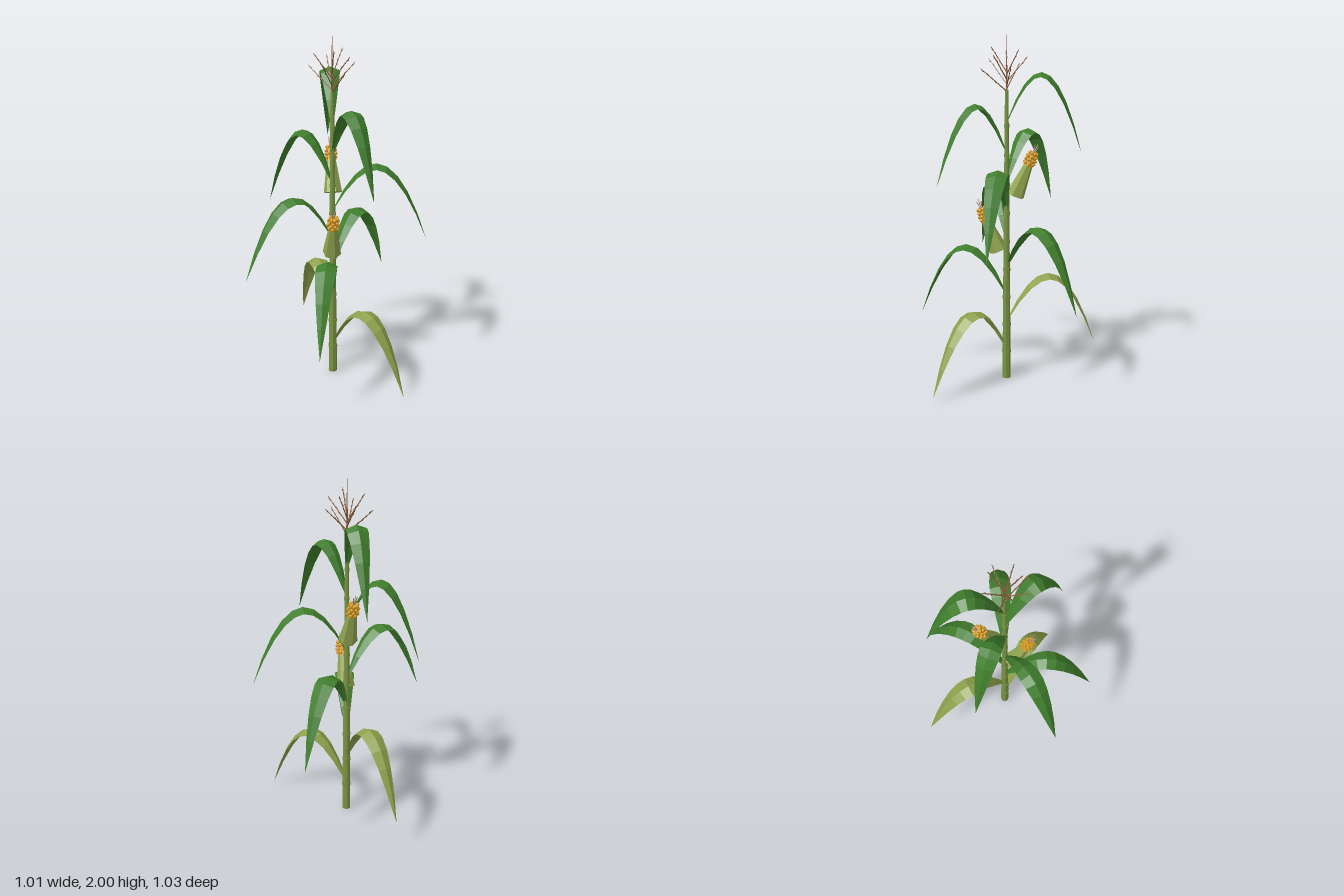
import * as THREE from 'three';

const mat = (name, color, side = THREE.FrontSide) => {
  const m = new THREE.MeshStandardMaterial({ color, side, flatShading: true });
  m.name = name;
  return m;
};

const AXIS_X = -0.03, AXIS_Z = 0.017; // stem position
const UP = new THREE.Vector3(0, 1, 0);

function add(parent, name, geometry, material, x = 0, y = 0, z = 0) {
  const mesh = new THREE.Mesh(geometry, material);
  mesh.name = name;
  mesh.position.set(x, y, z);
  parent.add(mesh);
  return mesh;
}

// Arching blade along +x: a folded strip with its ridge along the middle
function leafGeometry(reach) {
  const curve = new THREE.QuadraticBezierCurve(
    new THREE.Vector2(0, 0), new THREE.Vector2(reach * 0.53, 0.628), new THREE.Vector2(reach, -0.175));
  const n = 9, pos = [], index = [];
  for (let i = 0; i <= n; i++) {
    const s = i / n, p = curve.getPoint(s), t = curve.getTangent(s);
    const w = 0.056 * Math.max(0, Math.sin(Math.PI * s)) ** 0.85 + 0.008 * (1 - s) ** 2;
    const d = w * 0.38;
    const ex = p.x + t.y * d, ey = p.y - t.x * d; // edges drop below the ridge
    pos.push(ex, ey, -w, p.x, p.y, 0, ex, ey, w);
    if (i < n) {
      for (let k = 0; k < 2; k++) {
        const a = i * 3 + k, b = a + 1, c = a + 3, e = a + 4;
        index.push(a, b, c, b, e, c);
      }
    }
  }
  const g = new THREE.BufferGeometry();
  g.setAttribute('position', new THREE.Float32BufferAttribute(pos, 3));
  g.setIndex(index);
  g.computeVertexNormals();
  return g;
}

export function createModel() {
  const plant = new THREE.Group();
  plant.name = 'cornPlant';
  const body = new THREE.Group();
  body.name = 'stalkAndLeaves';
  body.position.set(AXIS_X, 0, AXIS_Z);
  plant.add(body);

  const stemMat = mat('stem green', 0x7a9443);
  const leafMat = mat('leaf green', 0x3f7d2c, THREE.DoubleSide);
  const oldLeafMat = mat('old leaf olive', 0x8ca04a, THREE.DoubleSide);
  const huskMat = mat('husk green', 0x93a751);
  const kernelMat = mat('kernel gold', 0xd49a20);
  const silkMat = mat('silk', 0xb39a8c);
  const tasselMat = mat('tassel brown', 0x8a5c3a);

  // Stalk with a slight ring at each node
  const STEM_TOP = 1.7, STEP = 0.167;
  const radius = y => 0.025 - 0.015 * y / STEM_TOP;
  add(body, 'stalk', new THREE.CylinderGeometry(radius(STEM_TOP), radius(0), STEM_TOP, 8), stemMat, 0, STEM_TOP / 2, 0);
  for (let i = 0; i < 9; i++) {
    const y = 0.168 + i * STEP, r = radius(y) + 0.003;
    add(body, 'stalkNode', new THREE.CylinderGeometry(r, r, 0.018, 8), stemMat, 0, y, 0);
  }

  // Leaves from bottom to top: tip x, tip z
  const tips = [
    [0.503, 0.017], [-0.503, -0.237], [0.265, 0.463], [-0.085, -0.515], [-0.238, 0.51],
    [0.383, -0.322], [-0.443, 0.10], [0.366, 0.14], [-0.325, -0.28],
  ];
  tips.forEach(([x, z], i) => {
    const dx = x - AXIS_X, dz = z - AXIS_Z;
    const leaf = add(body, i < 2 ? 'oldLeaf' : 'leaf', leafGeometry(Math.hypot(dx, dz)),
      i < 2 ? oldLeafMat : leafMat, 0, 0.19 + i * STEP, 0);
    leaf.rotation.y = Math.atan2(-dz, dx);
  });

  // Thin rod from a point along a direction
  function rod(parent, name, from, dir, length, r0, r1, material) {
    const g = new THREE.CylinderGeometry(r1, r0, length, 4);
    g.translate(0, length / 2, 0);
    const m = add(parent, name, g, material, from.x, from.y, from.z);
    m.quaternion.setFromUnitVectors(UP, dir);
    return m;
  }

  // Tassel: central spike and spreading branches with slim spikelets
  const tassel = new THREE.Group();
  tassel.name = 'tassel';
  body.add(tassel);
  rod(tassel, 'tasselSpike', new THREE.Vector3(0, 1.69, 0), UP, 0.31, 0.006, 0.0015, tasselMat);
  const spikelet = new THREE.OctahedronGeometry(1, 0).scale(0.0045, 0.012, 0.0045);
  for (let i = 0; i < 9; i++) {
    const a = i * 2.4 + 0.4, tilt = 0.86 - i * 0.038;
    const dir = new THREE.Vector3(Math.sin(tilt) * Math.cos(a), Math.cos(tilt), Math.sin(tilt) * Math.sin(a));
    const from = new THREE.Vector3(0, 1.695 + i * 0.013, 0);
    const length = 0.195 - i * 0.004;
    const branch = rod(tassel, 'tasselBranch', from, dir, length, 0.004, 0.002, tasselMat);
    for (let k = 0; k < 4; k++) {
      add(branch, 'spikelet', spikelet, tasselMat,
        0.002 * Math.cos(k * 2.1), length * (0.42 + k * 0.16), 0.002 * Math.sin(k * 2.1));
    }
  }

  // Ear: husk, kernelled cob and silk, leaning away from the stalk
  const kernel = new THREE.IcosahedronGeometry(0.0105, 0);
  function ear(name, x, y, z, dir) {
    const g = new THREE.Group();
    g.name = name;
    g.position.set(x, y, z);
    g.quaternion.setFromUnitVectors(UP, dir.normalize());
    plant.add(g);
    add(g, 'husk', new THREE.CylinderGeometry(0.024, 0.053, 0.2, 6), huskMat, 0, 0.1, 0);
    add(g, 'cob', new THREE.CylinderGeometry(0.023, 0.029, 0.08, 8), kernelMat, 0, 0.225, 0);
    [0.028, 0.029, 0.027, 0.021].forEach((r, row) => {
      for (let k = 0; k < 7; k++) {
        const a = (k + (row % 2) / 2) / 7 * Math.PI * 2;
        add(g, 'kernel', kernel, kernelMat, r * Math.cos(a), 0.2 + row * 0.02, r * Math.sin(a));
      }
    });
    for (let k = 0; k < 5; k++) {
      const a = k * Math.PI * 0.4, lean = 0.1 + 0.08 * (k % 2);
      const d = new THREE.Vector3(lean * Math.cos(a), 1, lean * Math.sin(a)).normalize();
      rod(g, 'silk', new THREE.Vector3(0.004 * Math.cos(a), 0.255, 0.004 * Math.sin(a)), d,
        0.05 + 0.008 * (k % 3), 0.003, 0.002, silkMat);
    }
  }
  ear('lowerEar', -0.002, 0.783, 0.055, new THREE.Vector3(0.065, 0.22, 0.062));
  ear('upperEar', -0.06, 1.112, -0.022, new THREE.Vector3(-0.07, 0.22, -0.062));

  return plant;
}
